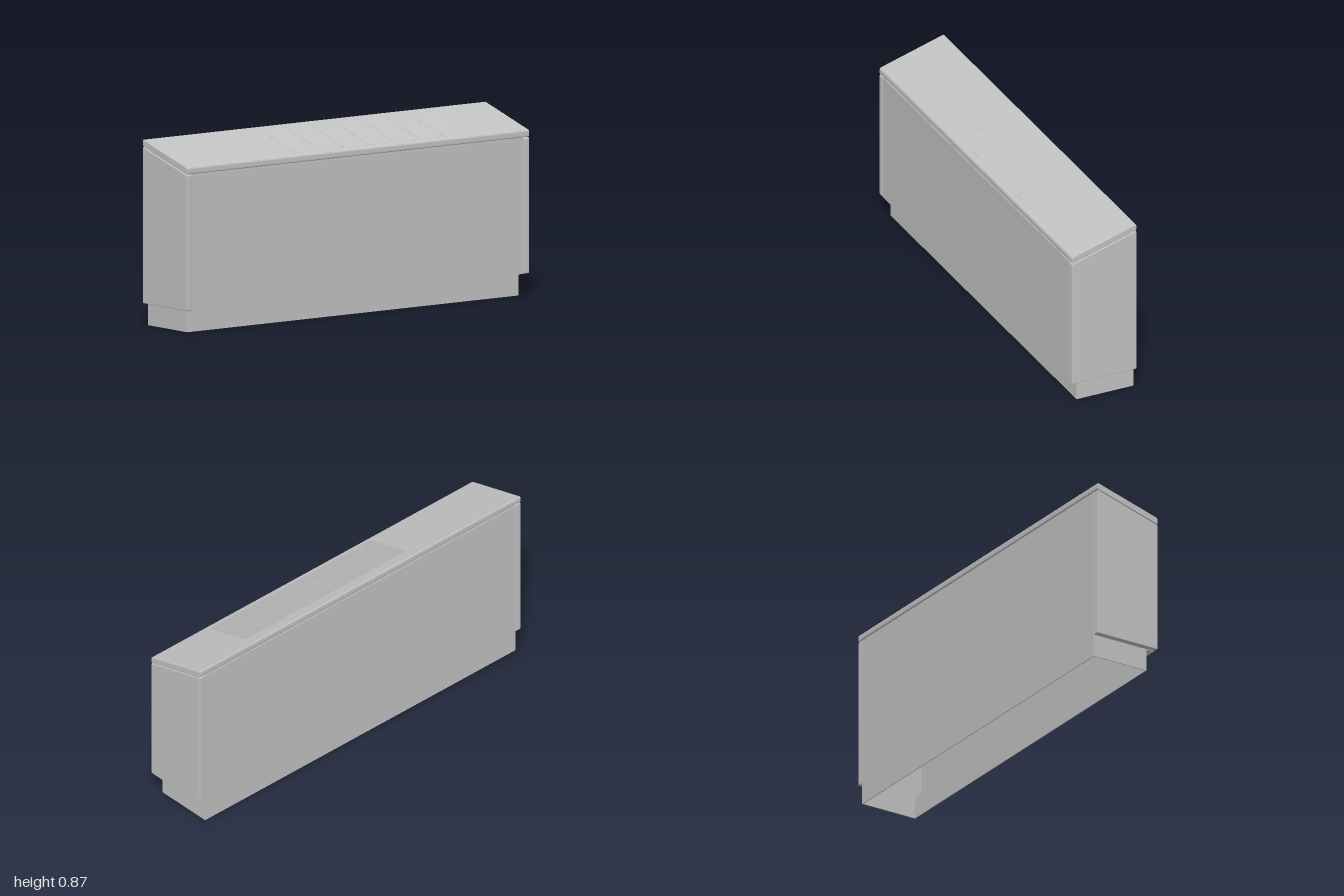
import * as THREE from 'three';

const FRONT = 0.166, BACK = -0.166, SLOPE = 0.291;
// Height of a sloping plane at depth z, given its height at the front
const slopeY = (frontY, z) => frontY + (FRONT - z) * SLOPE;

// Closed outline from [z, y] points, with optional rounded corners
function outline(points, r = 0) {
  const p = points.map(([z, y]) => new THREE.Vector2(-z, y));
  if (!r) return new THREE.Shape(p);
  const shape = new THREE.Shape();
  p.forEach((c, i) => {
    const toward = (q) => c.clone().add(q.clone().sub(c).setLength(r));
    const a = toward(p[(i + p.length - 1) % p.length]);
    const b = toward(p[(i + 1) % p.length]);
    if (i === 0) shape.moveTo(a.x, a.y); else shape.lineTo(a.x, a.y);
    shape.quadraticCurveTo(c.x, c.y, b.x, b.y);
  });
  shape.closePath();
  return shape;
}

// Extrudes an outline along x from x0 to x1
function alongX(shape, x0, x1, bevel = 0) {
  const geo = new THREE.ExtrudeGeometry(shape, {
    depth: x1 - x0 - 2 * bevel, curveSegments: 4, bevelEnabled: bevel > 0,
    bevelThickness: bevel, bevelSize: bevel, bevelOffset: -bevel, bevelSegments: 2,
  });
  geo.rotateY(Math.PI / 2);
  geo.translate(x0 + bevel, 0, 0);
  return geo;
}

export function createModel() {
  const model = new THREE.Group();
  model.name = 'convectorCabinet';
  const grey = new THREE.MeshStandardMaterial({ color: 0xc2c2c2 });
  grey.name = 'light grey';

  const add = (name, geo, parent = model) => {
    const mesh = new THREE.Mesh(geo, grey);
    mesh.name = name;
    parent.add(mesh);
    return mesh;
  };
  const box = (name, w, y0, y1, z0, z1, parent) => {
    const geo = new THREE.BoxGeometry(w, y1 - y0, z1 - z0);
    geo.translate(0, (y0 + y1) / 2, (z0 + z1) / 2);
    return add(name, geo, parent);
  };

  // Hollow sheet carcass, open at the bottom, with a recessed plinth
  const W = 0.967, T = 0.004, F = 0.164, PLINTH = 0.126, STEP = 0.105;
  const carcass = new THREE.Group();
  carcass.name = 'carcass';
  model.add(carcass);
  box('frontPanel', 2 * W, STEP, slopeY(0.734, F), F - T, F, carcass);
  box('plinthLedge', 2 * W, STEP, STEP + T, PLINTH - T, F, carcass);
  box('plinthFront', 2 * W, 0, STEP + T, PLINTH - T, PLINTH, carcass);
  box('backPanel', 2 * W, 0, slopeY(0.734, BACK + T), BACK, BACK + T, carcass);
  const endShape = outline([
    [PLINTH, 0], [BACK, 0], [BACK, slopeY(0.734, BACK)],
    [F, slopeY(0.734, F)], [F, STEP], [PLINTH, STEP],
  ]);
  add('leftCarcassEnd', alongX(endShape, W - T, W), carcass);
  add('rightCarcassEnd', alongX(endShape, -W, -W + T), carcass);

  // Side panels with softened edges
  const sideShape = outline([
    [FRONT, STEP], [BACK, STEP], [BACK, slopeY(0.735, BACK)], [FRONT, 0.735],
  ], 0.006);
  add('leftSidePanel', alongX(sideShape, 0.97, 1, 0.003));
  add('rightSidePanel', alongX(sideShape, -1, -0.97, 0.003));

  // Sloping top slab
  const topShape = outline([
    [FRONT, 0.738], [BACK, slopeY(0.738, BACK)], [BACK, slopeY(0.771, BACK)], [FRONT, 0.771],
  ], 0.009);
  add('topSlab', alongX(topShape, -1, 1, 0.003));

  // Vent: seven cells of fine louvres that step down toward the back
  const vent = new THREE.Group();
  vent.name = 'vent';
  model.add(vent);
  const z0 = 0.138, z1 = -0.1, teeth = 18;
  const profile = [[z0, slopeY(0.768, z0)], [z1, slopeY(0.768, z1)]];
  for (let i = teeth - 1; i >= 0; i--) {
    const zf = z0 + (z1 - z0) * i / teeth;
    const zb = z0 + (z1 - z0) * (i + 1) / teeth;
    profile.push([zb, slopeY(0.7732, zb)], [zf, slopeY(0.7714, zf)]);
  }
  const ventShape = outline(profile);
  for (let i = 0; i < 7; i++) {
    const x = -0.345 + i * 0.1445;
    add('ventCell', alongX(ventShape, x, x + 0.136), vent);
  }
  return model;
}
